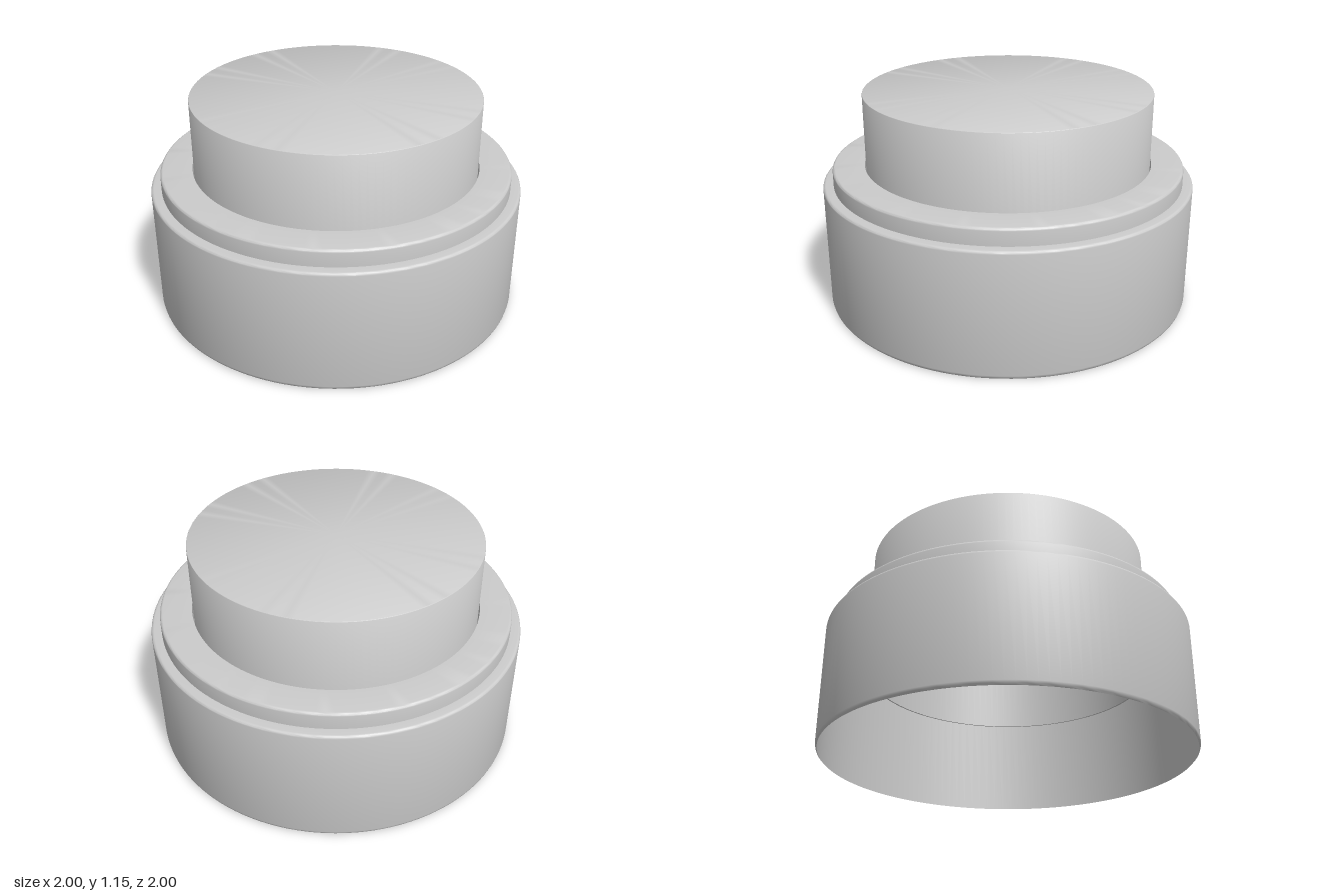
import * as THREE from 'three';
import { toCreasedNormals } from 'three/addons/utils/BufferGeometryUtils.js';

const material = new THREE.MeshStandardMaterial({ color: 0xcccccc, side: THREE.DoubleSide });

// Revolve a profile (outer side upward, inner side downward) with sharp creases kept.
function turned(name, profile) {
  const points = profile.map(([r, y]) => new THREE.Vector2(r, y));
  const geometry = toCreasedNormals(new THREE.LatheGeometry(points, 128), 0.6);
  const mesh = new THREE.Mesh(geometry, material);
  mesh.name = name;
  return mesh;
}

// Quarter-round from a vertical outer wall to a flat top.
function roundedEdge(radius, top, bevel) {
  return [0, 1, 2, 3, 4].map((i) => {
    const a = (i / 4) * Math.PI / 2;
    return [radius - bevel + bevel * Math.cos(a), top - bevel + bevel * Math.sin(a)];
  });
}

export function createModel() {
  const group = new THREE.Group();
  group.name = 'pushButton';

  // Thin-walled skirt, open underneath
  group.add(turned('housing', [
    [0.99, 0], [0.997, 0.008], [1, 0.02],
    ...roundedEdge(1, 0.67, 0.015),
    [0.93, 0.67], [0.93, 0.66], [0.99, 0.66], [0.99, 0],
  ]));

  // Raised ring around the button
  group.add(turned('bezel', [
    [0.775, 0.66], [0.945, 0.66],
    ...roundedEdge(0.945, 0.76, 0.015),
    [0.775, 0.76], [0.775, 0.66],
  ]));

  // Hollow button cap, passing through the bezel
  group.add(turned('buttonCap', [
    [0.76, 0.47], [0.768, 0.47],
    ...roundedEdge(0.768, 1.15, 0.004),
    [0, 1.15], [0, 1.14], [0.76, 1.14], [0.76, 0.47],
  ]));

  return group;
}
